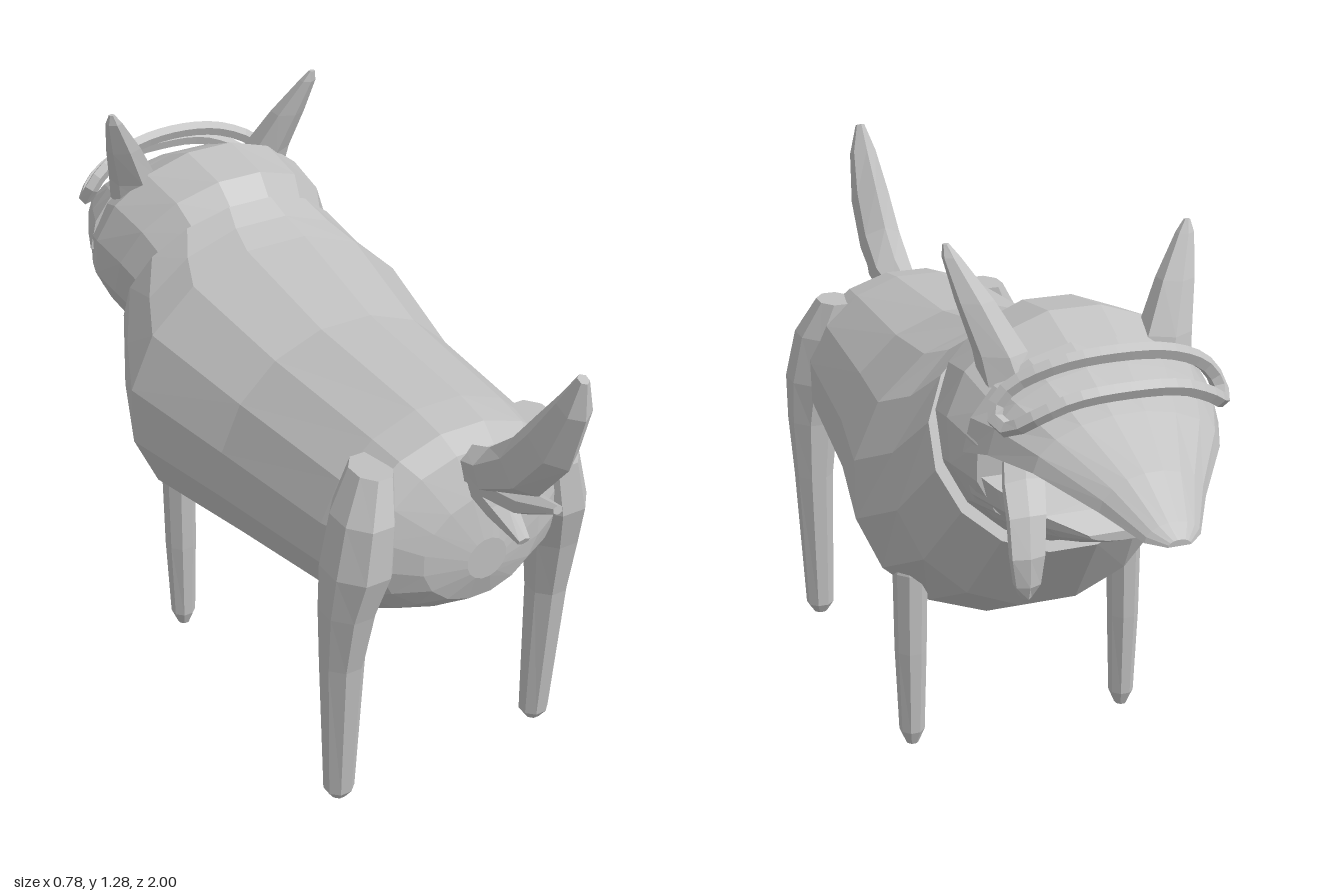
import * as THREE from 'three';

const V = (x, y, z) => new THREE.Vector3(x, y, z);

// Faceted normals
function faceted(geo) {
  const g = geo.index ? geo.toNonIndexed() : geo;
  g.computeVertexNormals();
  return g;
}

// Skin a list of equal-sized rings and close both ends
function loft(rings) {
  const n = rings[0].length, tris = [];
  for (let i = 0; i < rings.length - 1; i++) {
    for (let j = 0; j < n; j++) {
      const k = (j + 1) % n;
      const a = rings[i][j], b = rings[i][k], c = rings[i + 1][k], d = rings[i + 1][j];
      tris.push([a, b, c], [a, c, d]);
    }
  }
  const cap = (r, flip) => {
    const m = r.reduce((s, p) => s.add(p), V(0, 0, 0)).divideScalar(n);
    r.forEach((p, j) => {
      const q = r[(j + 1) % n];
      tris.push(flip ? [m, q, p] : [m, p, q]);
    });
  };
  cap(rings[0], true);
  cap(rings[rings.length - 1], false);
  // Turn the faces outward whichever way the rings run
  const volume = tris.reduce((s, [a, b, c]) => s + a.dot(b.clone().cross(c)), 0);
  const pts = tris.flatMap(([a, b, c]) => (volume < 0 ? [a, c, b] : [a, b, c]));
  return faceted(new THREE.BufferGeometry().setFromPoints(pts));
}

// Ellipse around c with half axes u and v
function ring(c, u, v, n) {
  return Array.from({ length: n }, (_, i) => {
    const t = ((i + 0.5) / n) * Math.PI * 2;
    return c.clone().addScaledVector(u, Math.cos(t)).addScaledVector(v, Math.sin(t));
  });
}

// Upright ring set by its top and bottom (z, y) and half width
function bodyRing([zt, yt, zb, yb, w]) {
  const top = V(0, yt, zt), bottom = V(0, yb, zb);
  return ring(top.clone().add(bottom).multiplyScalar(0.5), V(w, 0, 0), top.sub(bottom).multiplyScalar(0.5), 16);
}

// Half-ellipse jaw section: lip line at y, bulging up or down to peak
function jawRing([z, peak, lip, w]) {
  return Array.from({ length: 10 }, (_, i) => {
    const t = (i / 9) * Math.PI;
    return V(Math.cos(t) * w, lip + Math.sin(t) * (peak - lip), z);
  });
}

// Limb from rows of [x, y, z, half width in x, half depth in z]
const limb = (rows, n = 8) =>
  loft(rows.map(([x, y, z, rx, rz]) => ring(V(x, y, z), V(rx, 0, 0), V(0, 0, rz), n)));

// Tuft lying in the x = 0 plane, rows of [z, y, half width, half thickness, tilt]
const tuft = (rows) =>
  loft(rows.map(([z, y, w, h, a]) => ring(V(0, y, z), V(w, 0, 0), V(0, Math.cos(a) * h, -Math.sin(a) * h), 6)));

export function createModel() {
  const grey = new THREE.MeshStandardMaterial({ color: 0xc0c0c0 });
  const model = new THREE.Group();
  model.name = 'dog';
  const add = (name, geo) => {
    const mesh = new THREE.Mesh(geo, grey);
    mesh.name = name;
    model.add(mesh);
    return mesh;
  };

  // Trunk, neck and skull
  add('body', loft([
    [0.72, 0.70, 0.72, 0.60, 0.05],
    [0.70, 0.80, 0.70, 0.54, 0.15],
    [0.66, 0.89, 0.66, 0.51, 0.24],
    [0.61, 0.92, 0.61, 0.47, 0.28],
    [0.52, 0.935, 0.52, 0.41, 0.295],
    [0.15, 0.955, 0.15, 0.34, 0.33],
    [-0.16, 1.02, -0.17, 0.30, 0.397],
    [-0.23, 1.045, -0.36, 0.40, 0.345],
    [-0.28, 1.075, -0.50, 0.59, 0.29],
  ].map(bodyRing)));
  add('head', loft([
    [-0.27, 1.06, -0.46, 0.60, 0.26],
    [-0.33, 1.12, -0.54, 0.635, 0.29],
    [-0.48, 1.14, -0.57, 0.655, 0.302],
    [-0.62, 1.08, -0.61, 0.67, 0.272],
  ].map(bodyRing)));

  // Open mouth
  add('upperJaw', loft([
    [-0.58, 1.10, 0.89, 0.285],
    [-0.65, 1.065, 0.905, 0.258],
    [-0.76, 1.0, 0.90, 0.205],
    [-0.88, 0.92, 0.85, 0.115],
    [-0.97, 0.85, 0.815, 0.06],
    [-1.0, 0.825, 0.812, 0.025],
  ].map(jawRing)));
  add('lowerJaw', loft([
    [-0.57, 0.66, 0.86, 0.28],
    [-0.65, 0.68, 0.83, 0.24],
    [-0.73, 0.71, 0.79, 0.17],
    [-0.78, 0.735, 0.755, 0.09],
  ].map(jawRing)));

  // Tongue hanging out of the left corner of the mouth
  add('tongue', loft([
    [0.17, 0.875, -0.62, 0.05, 0.6],
    [0.20, 0.855, -0.70, 0.05, 0.7],
    [0.22, 0.81, -0.765, 0.045, 1.1],
    [0.23, 0.74, -0.795, 0.04, 1.5],
    [0.23, 0.68, -0.795, 0.03, 1.6],
    [0.23, 0.65, -0.785, 0.012, 1.6],
  ].map(([x, y, z, w, a]) =>
    ring(V(x, y, z), V(w, 0, 0), V(0, Math.cos(a) * 0.02, -Math.sin(a) * 0.02), 6))));

  // Visor frame wrapped over the brow
  const half = [[0, 1.1, -0.685], [0.13, 1.085, -0.675], [0.22, 1.04, -0.655], [0.25, 0.995, -0.66]];
  const low = [[0.235, 0.975, -0.70], [0.2, 1.0, -0.73], [0.12, 1.035, -0.75], [0, 1.045, -0.755]];
  const right = [...half, ...low];
  const left = right.slice(1, -1).reverse().map(([x, y, z]) => [-x, y, z]);
  const path = new THREE.CatmullRomCurve3([...right, ...left].map((p) => V(...p)), true);
  add('visorFrame', faceted(new THREE.TubeGeometry(path, 36, 0.018, 5, true)));

  // Tail and its two lower tufts
  add('tail', tuft([
    [0.62, 0.84, 0.04, 0.04, 0.2],
    [0.73, 0.875, 0.055, 0.05, 0.5],
    [0.83, 0.94, 0.055, 0.065, 0.8],
    [0.91, 1.04, 0.05, 0.065, 1.0],
    [0.965, 1.15, 0.035, 0.04, 1.2],
    [0.985, 1.22, 0.012, 0.014, 1.2],
  ]));
  add('middleTuft', tuft([
    [0.68, 0.83, 0.04, 0.03, 0],
    [0.84, 0.86, 0.035, 0.03, -0.1],
    [0.94, 0.90, 0.012, 0.01, 0.2],
  ]));
  add('lowerTuft', tuft([
    [0.66, 0.83, 0.04, 0.03, -0.4],
    [0.76, 0.80, 0.035, 0.03, -0.4],
    [0.84, 0.765, 0.015, 0.01, -0.4],
  ]));

  // Legs and ears, mirrored
  for (const s of [1, -1]) {
    const side = s > 0 ? 'left' : 'right';
    const mirror = (rows) => rows.map(([x, ...rest]) => [s * x, ...rest]);
    add(side + 'HindLeg', limb(mirror([
      [0.272, 0.005, 0.572, 0.018, 0.018],
      [0.272, 0.03, 0.574, 0.036, 0.034],
      [0.274, 0.40, 0.585, 0.05, 0.053],
      [0.268, 0.55, 0.597, 0.064, 0.07],
      [0.252, 0.66, 0.605, 0.078, 0.092],
      [0.235, 0.78, 0.6, 0.068, 0.085],
      [0.205, 0.87, 0.58, 0.045, 0.06],
    ])));
    add(side + 'FrontLeg', limb(mirror([
      [0.27, 0.005, -0.182, 0.015, 0.016],
      [0.27, 0.04, -0.182, 0.03, 0.03],
      [0.27, 0.25, -0.181, 0.037, 0.04],
      [0.268, 0.45, -0.18, 0.04, 0.043],
      [0.26, 0.52, -0.18, 0.02, 0.02],
    ])));
    add(side + 'Ear', limb(mirror([
      [0.17, 1.02, -0.545, 0.065, 0.06],
      [0.185, 1.08, -0.53, 0.058, 0.055],
      [0.225, 1.18, -0.49, 0.042, 0.038],
      [0.262, 1.265, -0.455, 0.02, 0.018],
      [0.27, 1.29, -0.447, 0.007, 0.007],
    ]), 6));
  }
  return model;
}
